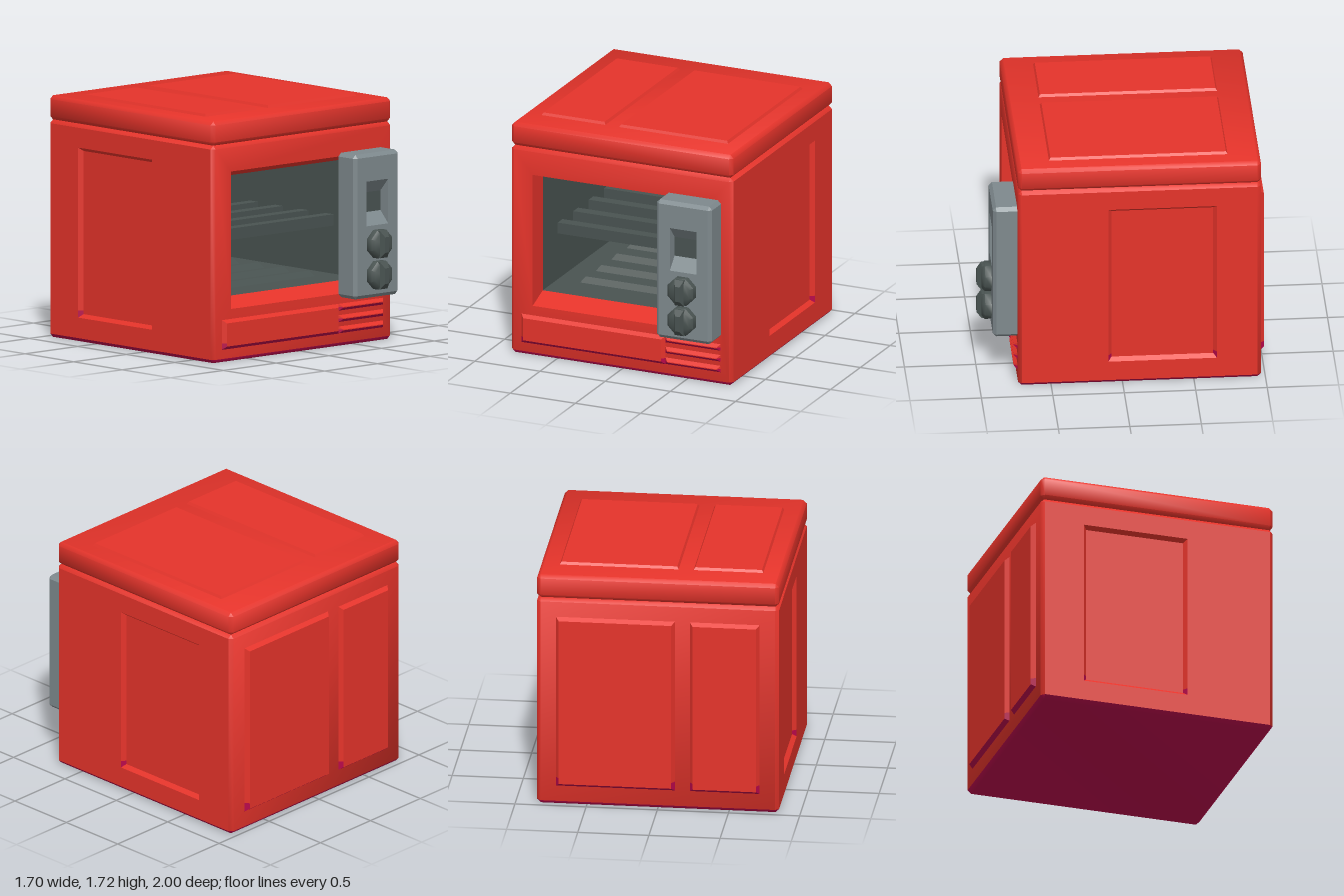
import * as THREE from 'three';
import { toCreasedNormals } from 'three/addons/utils/BufferGeometryUtils.js';

const mat = (name, color) => new THREE.MeshStandardMaterial({ name, color });

// Eight-point rectangle, counter-clockwise seen from +z.
// c cuts the corners; f splits the foot of both sides off at that height.
const ringPoints = ([x0, x1, y0, y1, z, c = 0, f = 0]) => [
  [x1, y0 + c + f, z], [x1, y1 - c, z], [x1 - c, y1, z], [x0 + c, y1, z],
  [x0, y1 - c, z], [x0, y0 + c + f, z], [x0 + c, y0, z], [x1 - c, y0, z],
];

const never = () => false;
const underside = (i, j) => j >= 5;

// Joins rectangles in order, optionally closing the ends.
// Faces picked by trim form a second material group.
function loft(rings, { start = false, end = true, skip = never, trim = never, crease = 0.9 } = {}) {
  const pos = [], main = [], trimmed = [];
  rings.forEach((r) => ringPoints(r).forEach((p) => pos.push(...p)));
  for (let i = 0; i < rings.length - 1; i++) {
    for (let j = 0; j < 8; j++) {
      if (skip(i, j)) continue;
      const a = i * 8 + j, b = i * 8 + (j + 1) % 8;
      (trim(i, j) ? trimmed : main).push(a, b, b + 8, a, b + 8, a + 8);
    }
  }
  const last = (rings.length - 1) * 8;
  for (let j = 1; j < 7; j++) {
    if (start) main.push(0, j + 1, j);
    if (end) main.push(last, last + j, last + j + 1);
  }
  let g = new THREE.BufferGeometry();
  g.setAttribute('position', new THREE.Float32BufferAttribute(pos, 3));
  g.setIndex([...main, ...trimmed]);
  g = toCreasedNormals(g, crease);
  if (trimmed.length) {
    g.addGroup(0, main.length, 0);
    g.addGroup(main.length, trimmed.length, 1);
  }
  return g;
}

const inset = ([x0, x1, y0, y1], b) => [x0 + b, x1 - b, y0 + b, y1 - b];

// Raised plate with sloped edges, from z to z + h, with a trimmed foot of height f
const plate = (rect, z, h, b, f = 0) => loft(
  [[...rect, z, 0, f], [...inset(rect, b), z + h, 0, Math.max(f - b, 0)]],
  { crease: 0.3, trim: f ? underside : never },
);

export function createModel() {
  const red = mat('red enamel', 0xe5332a);
  const crimson = mat('deep crimson underside', 0xb8064a);
  const grey = mat('grey metal', 0x7e898d);
  const dark = mat('dark metal', 0x495351);
  const redTrim = [red, crimson];

  const model = new THREE.Group();
  model.name = 'oven';
  const add = (name, geometry, material, parent = model) => {
    const m = new THREE.Mesh(geometry, material);
    m.name = name;
    parent.add(m);
    return m;
  };

  // Body shell with the front opening; its side walls are separate recessed panels
  const B = 0.025;
  const body = [-0.85, 0.85, 0, 1.535];
  const mouth = [-0.68, 0.68, 0.37, 1.34];
  const cavity = [-0.68, 0.68, 0.43, 1.28];
  add('body', loft([
    [...inset(body, B), -0.97], [...body, -0.945, B], [...body, 0.705, B],
    [...inset(body, B), 0.73], [...mouth, 0.73], [...cavity, 0.56],
  ], {
    start: true, end: false,
    skip: (i, j) => i === 1 && (j === 0 || j === 4),
    trim: (i, j) => i < 3 && j >= 5,
  }), redTrim);

  // Side walls; the feet of the recess edges are crimson
  for (const s of [1, -1]) {
    const span = (a, b) => (s > 0 ? [-b, -a] : [a, b]);
    const recess = [...span(-0.66, 0.1), 0.17, 1.37];
    const g = loft([
      [...span(-0.945, 0.705), B, 1.535 - B, 0.85],
      [...recess, 0.85, 0, 0.05], [...inset(recess, 0.024), 0.82, 0, 0.026],
    ], { crease: 0.3, trim: (i, j) => i === 1 && (j === 5 || j === 7) });
    add(s > 0 ? 'leftSide' : 'rightSide', g.rotateY(s * Math.PI / 2), redTrim);
  }

  // Lid
  const lid = [-0.85, 0.85, 1.535, 1.705];
  add('lid', loft([
    [...inset(lid, B), -0.97], [...lid, -0.945, B], [...lid, 0.705, B], [...inset(lid, B), 0.73],
  ], { start: true }), red);

  // Raised panels on the lid and back, a narrow and a wide one on each
  for (const [x0, x1] of [[-0.715, -0.225], [-0.12, 0.715]]) {
    add('lidPanel', plate([x0, x1, -0.505, 0.745], 1.705, 0.018, 0.011).rotateX(-Math.PI / 2), red);
    add('backPanel', plate([-x1, -x0, 0.14, 1.4], 0.97, 0.03, 0.022, 0.065).rotateY(Math.PI), redTrim);
  }

  // Front drawer plate and vent slats
  add('drawerPlate', plate([-0.765, 0.34, 0.09, 0.3], 0.73, 0.025, 0.023, 0.045), redTrim);
  for (const y of [0.092, 0.172, 0.252]) {
    add('ventSlat', plate([0.34, 0.762, y, y + 0.048], 0.73, 0.025, 0.021, 0.026), redTrim);
  }

  // Oven cavity with heating bars above and ribs on the floor
  add('cavity', loft([[...cavity, 0.56], [...cavity, -0.75]]), dark);
  for (const z of [0.27, 0.01, -0.25, -0.51]) {
    add('heatingBar', new THREE.BoxGeometry(1.36, 0.08, 0.08), dark).position.set(0, 0.81, z);
    const rib = [-0.51, 0.51, -0.035, 0.035];
    add('floorRib', plate(rib, 0, 0.04, 0.03).rotateX(-Math.PI / 2), dark).position.set(0, 0.43, z);
  }

  // Control panel with a recessed display
  const panel = [0.34, 0.765, 0.345, 1.365];
  const screen = [0.45, 0.655, 0.94, 1.08];
  add('controlPanel', loft([
    [...panel, 0.73, B], [...panel, 0.877, B], [...inset(panel, B), 0.9],
    [0.45, 0.655, 0.855, 1.17, 0.9], [...screen, 0.82],
  ], { start: true, end: false, crease: 0.3 }), grey);
  add('display', loft([[...screen, 0.82], [...screen, 0.819]]), dark);

  // Knobs: an octagonal disc with a tapered grip
  for (const y of [0.725, 0.505]) {
    const knob = new THREE.Group();
    knob.name = 'knob';
    knob.position.set(0.552, y, 0.9);
    model.add(knob);
    const disc = [-0.098, 0.098, -0.098, 0.098];
    add('knobDisc', loft([
      [...disc, 0, 0.057], [...disc, 0.045, 0.057], [...inset(disc, 0.022), 0.066, 0.044],
    ]), dark, knob);
    add('knobGrip', loft([
      [-0.035, 0.035, -0.095, 0.095, 0], [-0.035, 0.035, -0.095, 0.095, 0.066],
      [-0.018, 0.018, -0.055, 0.055, 0.1],
    ], { crease: 0.3 }), dark, knob);
  }
  return model;
}
